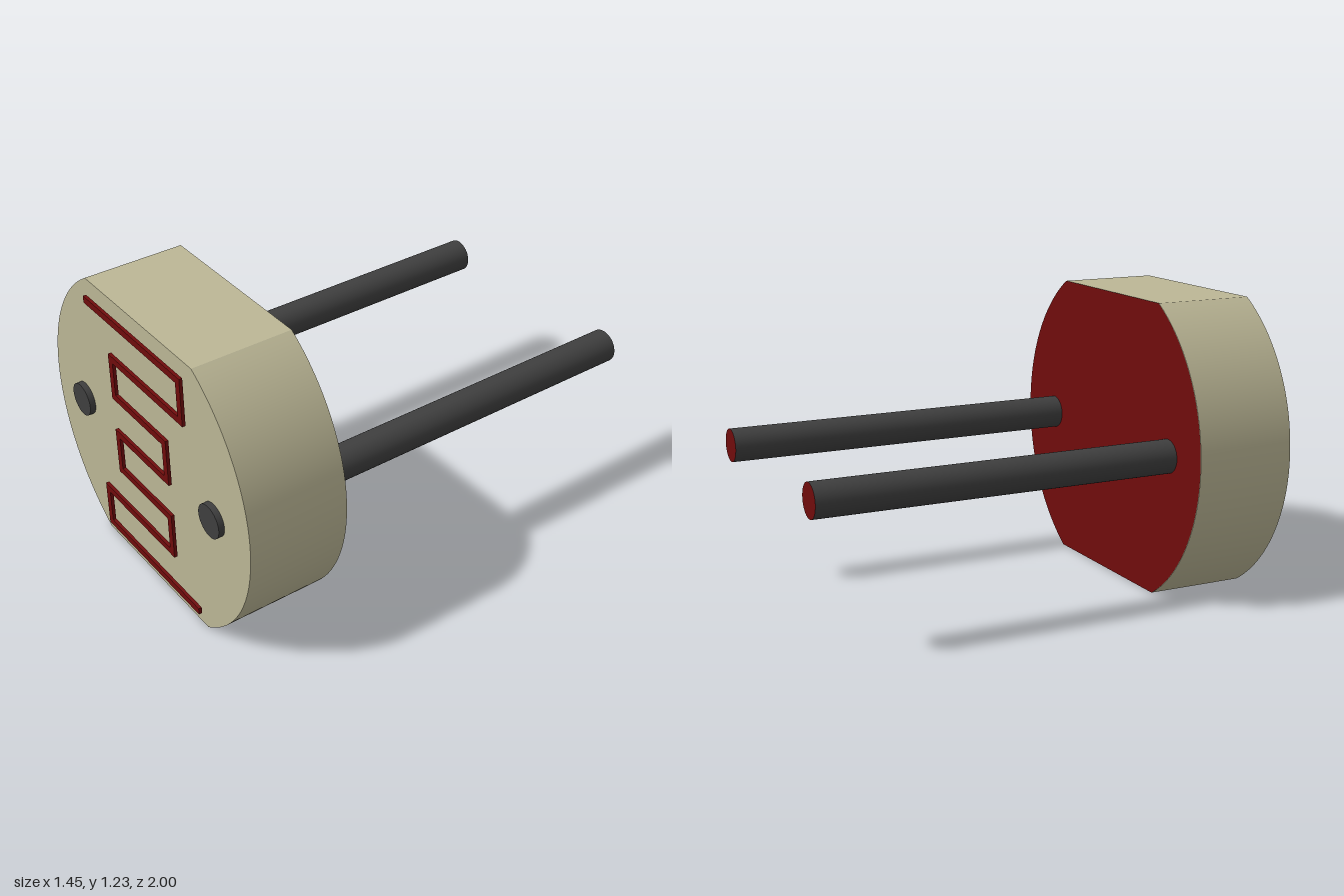
import * as THREE from 'three';
import { toCreasedNormals } from 'three/addons/utils/BufferGeometryUtils.js';

const CY = 0.615; // height of the disc centre

function material(name, color) {
  const m = new THREE.MeshStandardMaterial({ color });
  m.name = name;
  return m;
}

// Disc outline with flat top and bottom
function discShape(radius, halfHeight) {
  const a = Math.asin(halfHeight / radius);
  const shape = new THREE.Shape();
  shape.absarc(0, 0, radius, -a, a, false);
  shape.absarc(0, 0, radius, Math.PI - a, Math.PI + a, false);
  shape.closePath();
  return shape;
}

// Constant-width outline along a path of right-angle turns
function trackShape(path, width) {
  const pts = path.map(([x, y]) => new THREE.Vector2(x, y));
  const normal = (a, b) => {
    const d = b.clone().sub(a).normalize();
    return new THREE.Vector2(-d.y, d.x);
  };
  const left = [], right = [];
  pts.forEach((p, i) => {
    const offset = new THREE.Vector2();
    if (i > 0) offset.add(normal(pts[i - 1], p));
    if (i < pts.length - 1) offset.add(normal(p, pts[i + 1]));
    offset.multiplyScalar(width / 2);
    left.push(p.clone().add(offset));
    right.unshift(p.clone().sub(offset));
  });
  return new THREE.Shape([...left, ...right]);
}

export function createModel() {
  const group = new THREE.Group();
  const ceramic = material('ceramic beige', 0xbcb796);
  const red = material('dark red', 0x700c0c);
  const metal = material('dark metal', 0x3f3f3f);

  const add = (name, geometry, mat, x, y, z) => {
    const mesh = new THREE.Mesh(geometry, mat);
    mesh.name = name;
    mesh.position.set(x, y, z);
    group.add(mesh);
    return mesh;
  };

  // Ceramic body
  const outline = discShape(0.727, CY);
  const body = new THREE.ExtrudeGeometry(outline, { depth: 0.43, bevelEnabled: false, curveSegments: 32 });
  add('body', toCreasedNormals(body, 0.5), ceramic, 0, CY, 0.545);

  // Red rear face
  add('backFace', new THREE.ShapeGeometry(outline, 32), red, 0, CY, 0.543).rotation.y = Math.PI;

  // Winding track floating just ahead of the front face
  const track = trackShape([
    [-0.368, 1.153], [0.325, 1.153], [0.325, 0.974], [-0.189, 0.974],
    [-0.189, 0.795], [0.185, 0.795], [0.185, 0.615], [-0.189, 0.615],
    [-0.189, 0.436], [0.185, 0.436], [0.185, 0.257], [-0.329, 0.257],
    [-0.329, 0.078], [0.364, 0.078],
  ], 0.03);
  add('track', new THREE.ExtrudeGeometry(track, { depth: 0.014, bevelEnabled: false }), red, 0, 0, 0.986);

  // Two leads through the body, with red rear tips
  const lead = new THREE.CylinderGeometry(0.071, 0.071, 2, 40).rotateX(Math.PI / 2);
  for (const [name, side] of [['leftLead', 1], ['rightLead', -1]]) {
    add(name, lead, [metal, metal, red], side * 0.485, CY, 0);
  }

  return group;
}
